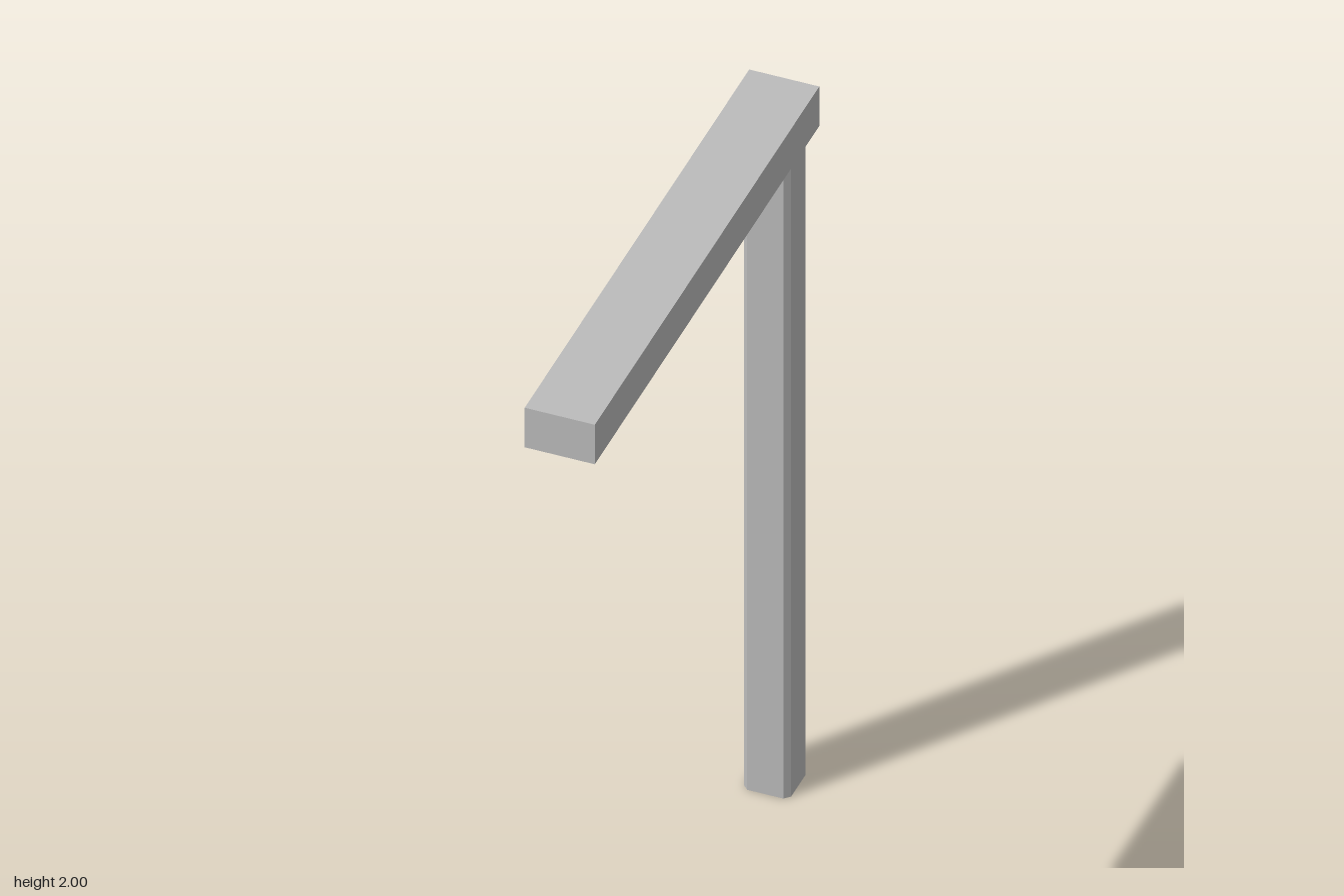
import * as THREE from 'three';

export function createModel() {
  const group = new THREE.Group();
  const grey = new THREE.MeshStandardMaterial({ color: 0xbcbcbc });
  grey.name = 'grey';

  const HEIGHT = 2, LENGTH = 1.395, BEAM_WIDTH = 0.175, BEAM_HEIGHT = 0.115;
  const POST_WIDTH = 0.118, CHAMFER = 0.014;
  const postHeight = HEIGHT - BEAM_HEIGHT;

  // Horizontal arm
  const arm = new THREE.Mesh(new THREE.BoxGeometry(BEAM_WIDTH, BEAM_HEIGHT, LENGTH), grey);
  arm.name = 'arm';
  arm.position.y = HEIGHT - BEAM_HEIGHT / 2;
  group.add(arm);

  // Square post with chamfered corners, flush with the arm's back end
  const h = POST_WIDTH / 2, c = h - CHAMFER;
  const outline = new THREE.Shape([
    [c, -h], [h, -c], [h, c], [c, h], [-c, h], [-h, c], [-h, -c], [-c, -h],
  ].map(([x, y]) => new THREE.Vector2(x, y)));
  const postGeometry = new THREE.ExtrudeGeometry(outline, { depth: postHeight, bevelEnabled: false });
  postGeometry.rotateX(-Math.PI / 2);
  const post = new THREE.Mesh(postGeometry, grey);
  post.name = 'post';
  post.position.z = -LENGTH / 2 + h;
  group.add(post);

  return group;
}
